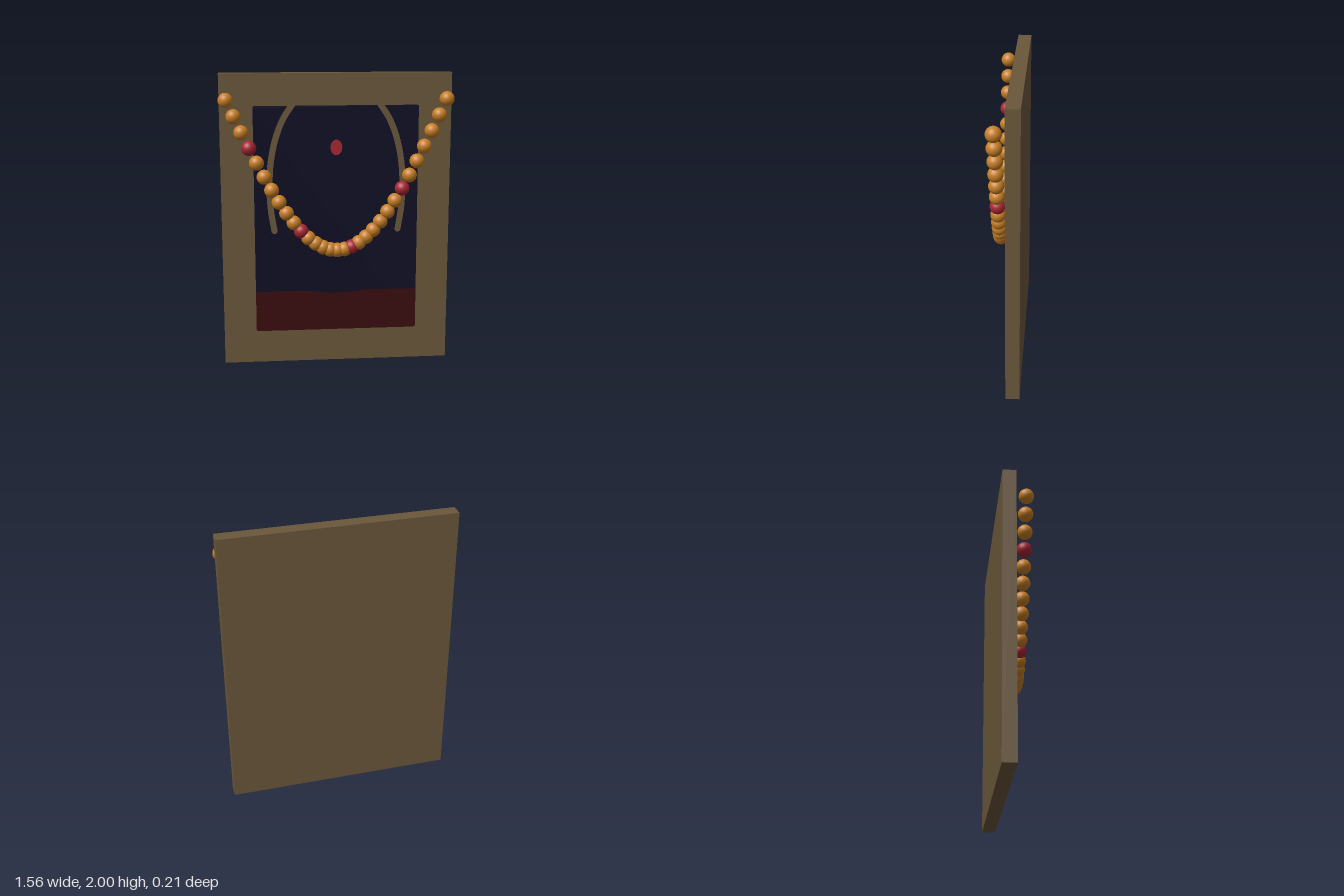
import * as THREE from 'three';

const mat = (name, color) => {
  const m = new THREE.MeshStandardMaterial({ color });
  m.name = name;
  return m;
};

export function createModel() {
  const group = new THREE.Group();
  const brown = mat('brown wood', 0x6a573b);
  const navy = mat('dark navy', 0x0d0d23);
  const maroon = mat('dark maroon', 0x3a0d0f);
  const red = mat('red', 0xa82533);
  const amber = mat('amber', 0xc67e24);
  const FRONT = -0.013;

  const add = (name, geometry, material, x = 0, y = 0, z = 0) => {
    const mesh = new THREE.Mesh(geometry, material);
    mesh.name = name;
    mesh.position.set(x, y, z);
    group.add(mesh);
    return mesh;
  };

  // Backing board
  add('board', new THREE.BoxGeometry(1.554, 2, 0.092), brown, 0, 1, FRONT - 0.046);

  // Painted panel with slightly rounded corners
  const w = 0.556, y0 = 0.225, y1 = 1.786, r = 0.015;
  const panel = new THREE.Shape();
  panel.moveTo(-w + r, y0);
  panel.lineTo(w - r, y0);
  panel.quadraticCurveTo(w, y0, w, y0 + r);
  panel.lineTo(w, y1 - r);
  panel.quadraticCurveTo(w, y1, w - r, y1);
  panel.lineTo(-w + r, y1);
  panel.quadraticCurveTo(-w, y1, -w, y1 - r);
  panel.lineTo(-w, y0 + r);
  panel.quadraticCurveTo(-w, y0, -w + r, y0);
  add('panel', new THREE.ShapeGeometry(panel), navy, 0, 0, FRONT + 0.001);

  // Lower band, its top edge dipping in the middle
  const band = new THREE.Shape();
  band.moveTo(-w + r, y0);
  band.lineTo(w - r, y0);
  band.quadraticCurveTo(w, y0, w, y0 + r);
  band.lineTo(w, 0.507);
  band.lineTo(0.2, 0.507);
  band.quadraticCurveTo(0, 0.475, -0.2, 0.507);
  band.lineTo(-w, 0.507);
  band.lineTo(-w, y0 + r);
  band.quadraticCurveTo(-w, y0, -w + r, y0);
  add('lowerBand', new THREE.ShapeGeometry(band), maroon, 0, 0, FRONT + 0.002);

  // Curved stripes, mirrored left and right
  for (const side of [1, -1]) {
    const curve = new THREE.CatmullRomCurve3(
      [[0.29, 1.8], [0.355, 1.7], [0.407, 1.57], [0.441, 1.41], [0.452, 1.24], [0.444, 1.08], [0.422, 0.935]]
        .map(([x, y]) => new THREE.Vector3(side * x, y, 0)));
    const outer = [], inner = [];
    for (let i = 0; i <= 32; i++) {
      const p = curve.getPoint(i / 32), t = curve.getTangent(i / 32);
      outer.push(new THREE.Vector2(p.x - t.y * 0.021, p.y + t.x * 0.021));
      inner.push(new THREE.Vector2(p.x + t.y * 0.021, p.y - t.x * 0.021));
    }
    const stripe = new THREE.Shape([...outer, ...inner.reverse()]);
    add(side > 0 ? 'leftStripe' : 'rightStripe', new THREE.ShapeGeometry(stripe), brown, 0, 0, FRONT + 0.003);
    add('stripeEnd', new THREE.CircleGeometry(0.021, 20), brown, side * 0.422, 0.937, FRONT + 0.003);
  }

  // Red oval
  const oval = add('oval', new THREE.CircleGeometry(1, 32), red, 0, 1.505, FRONT + 0.003);
  oval.scale.set(0.04, 0.053, 1);

  // Hanging garland: every seventh bead is red
  const bead = new THREE.SphereGeometry(0.05, 24, 16);
  for (let i = 0; i <= 30; i++) {
    const y = 1.83 - 1.018 * Math.sin(Math.PI * i / 30);
    add('bead', bead, i % 7 === 3 ? red : amber, -0.732 + 0.0488 * i, y, 0.055);
  }
  return group;
}
